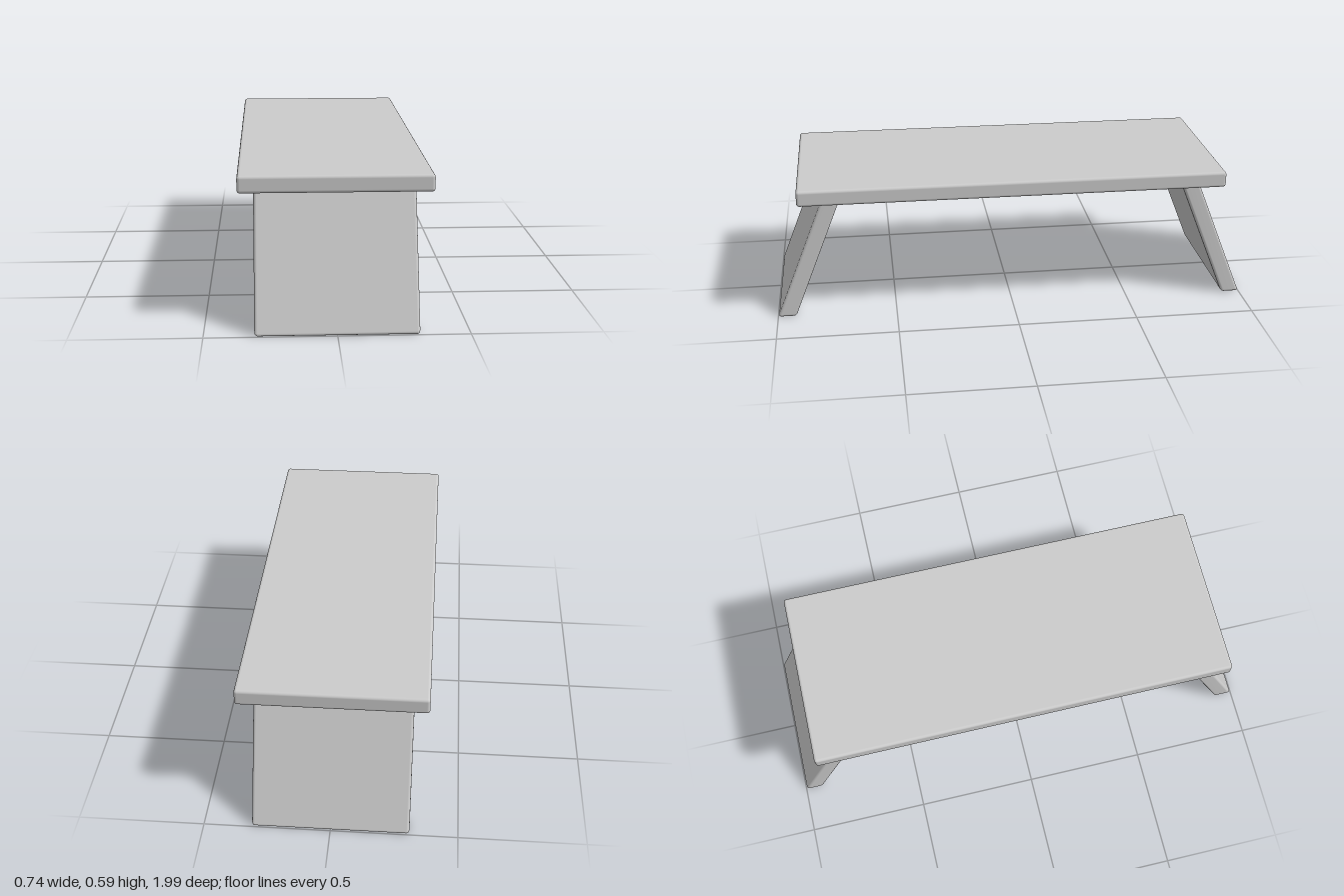
import * as THREE from 'three';
import { RoundedBoxGeometry } from 'three/addons/geometries/RoundedBoxGeometry.js';

const material = new THREE.MeshStandardMaterial({ color: 0xcccccc });

const TOP_Y = 0.587, UNDER_Y = 0.52;   // board faces
const HALF_W = 0.31, HALF_T = 0.038;   // leg half width and half thickness
const R = 0.012, STEPS = 4;            // leg edge rounding

// Leg: rounded rectangles stacked along a slanted line, flaring into the board.
function legGeometry() {
  const rows = []; // [height, offset of the outline]
  for (let i = 0; i <= STEPS; i++) {
    const a = (i / STEPS) * Math.PI / 2;
    rows.push([R * (1 - Math.sin(a)), -R * (1 - Math.cos(a))]);
  }
  rows.reverse();
  rows.reverse().sort((p, q) => p[0] - q[0]);
  const F = 0.015; // fillet under the board
  for (let i = 0; i <= STEPS; i++) {
    const a = (i / STEPS) * Math.PI / 2;
    rows.push([UNDER_Y - F + F * Math.sin(a), F * (1 - Math.cos(a)) * 0.8]);
  }
  rows.push([UNDER_Y + 0.02, F * 0.8]);

  const pos = [], index = [], n = 4 * (STEPS + 1);
  const lean = (y) => 0.962 - 0.207 * (y / UNDER_Y);
  for (const [y, o] of rows) {
    for (let c = 0; c < 4; c++) {
      const sx = c === 0 || c === 3 ? 1 : -1, sz = c < 2 ? 1 : -1;
      for (let s = 0; s <= STEPS; s++) {
        const a = (c + s / STEPS) * Math.PI / 2;
        pos.push(
          sx * (HALF_W - R) + (R + o) * Math.cos(a),
          y,
          lean(y) + sz * (HALF_T - R) + (R + o) * Math.sin(a));
      }
    }
  }
  for (let r = 0; r < rows.length - 1; r++) {
    for (let i = 0; i < n; i++) {
      const a = r * n + i, b = r * n + (i + 1) % n;
      index.push(a, a + n, b, b, a + n, b + n);
    }
  }
  // flat foot
  const centre = pos.length / 3;
  pos.push(0, 0, lean(0));
  for (let i = 0; i < n; i++) index.push(centre, i, (i + 1) % n);

  const g = new THREE.BufferGeometry();
  g.setAttribute('position', new THREE.Float32BufferAttribute(pos, 3));
  g.setIndex(index);
  g.computeVertexNormals();
  return g;
}

export function createModel() {
  const model = new THREE.Group();
  model.name = 'bench';

  // Board
  const board = new THREE.Mesh(
    new RoundedBoxGeometry(0.74, TOP_Y - UNDER_Y, 1.78, 4, 0.012), material);
  board.name = 'board';
  board.position.y = (TOP_Y + UNDER_Y) / 2;
  model.add(board);

  // Two splayed slab legs
  const geometry = legGeometry();
  ['frontLeg', 'backLeg'].forEach((name, i) => {
    const leg = new THREE.Mesh(geometry, material);
    leg.name = name;
    leg.rotation.y = i * Math.PI;
    model.add(leg);
  });
  return model;
}
